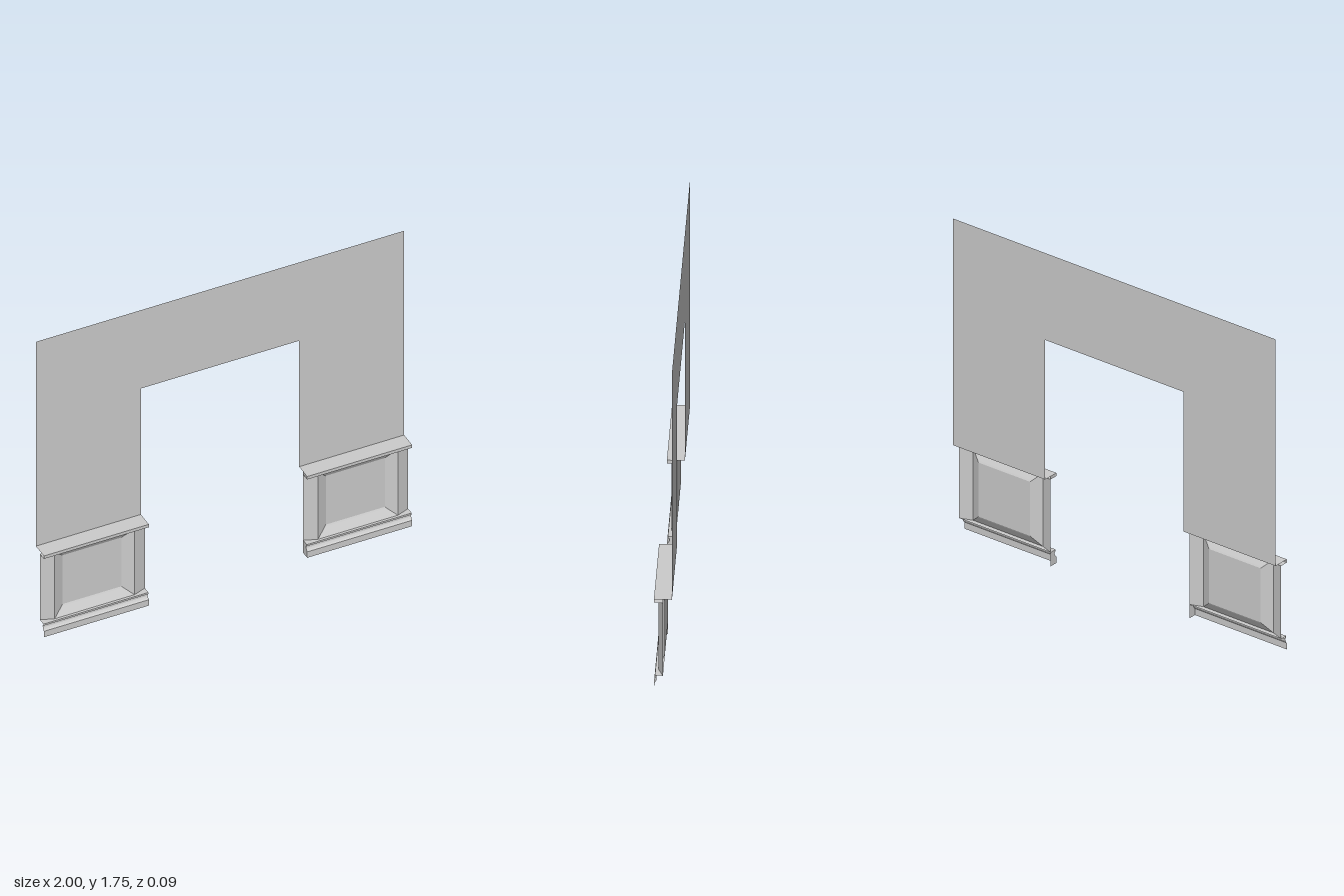
import * as THREE from 'three';

const material = new THREE.MeshStandardMaterial({ color: 0xcccccc, side: THREE.DoubleSide, flatShading: true });

const FRONT = 0.044, BACK = -0.044;
const PIER_X = 0.715, HALF = 0.285;
const RAIL_Y = 0.48, LEDGE_Y = 0.498, BASE_Y = 0.077;
const STILE_IN = 0.217, STILE_Z = 0.025;

function addMesh(parent, name, geometry) {
  const mesh = new THREE.Mesh(geometry, material);
  mesh.name = name;
  parent.add(mesh);
  return mesh;
}

// Skin a list of equally long rows of [x, y, z] points with flat quads.
function loft(rows) {
  const n = rows[0].length;
  const index = [];
  for (let i = 0; i < rows.length - 1; i++) {
    for (let j = 0; j < n - 1; j++) {
      const a = i * n + j, d = a + n;
      index.push(a, a + 1, d + 1, a, d + 1, d);
    }
  }
  const g = new THREE.BufferGeometry();
  g.setAttribute('position', new THREE.Float32BufferAttribute(rows.flat(2), 3));
  g.setIndex(index);
  const flat = g.toNonIndexed();
  flat.computeVertexNormals();
  return flat;
}

// Run a [z, y] profile across the width of a pier.
const moulding = (profile) => loft(profile.map(([z, y]) => [[-HALF, y, z], [HALF, y, z]]));

// Flat end cap from a [z, y] outline, standing at x.
function endCap(outline, x) {
  const shape = new THREE.Shape(outline.map(([z, y]) => new THREE.Vector2(z, y)));
  return new THREE.ShapeGeometry(shape).rotateY(-Math.PI / 2).translate(x, 0, 0);
}

// Closed rectangle, counterclockwise from the front.
const rectangle = (hx, y0, y1, z) =>
  [[-hx, y0, z], [hx, y0, z], [hx, y1, z], [-hx, y1, z], [-hx, y0, z]];

function createPier(side) {
  const pier = new THREE.Group();
  pier.name = side > 0 ? 'leftPedestal' : 'rightPedestal';
  pier.position.x = side * PIER_X;
  const innerX = -side * HALF;

  // Base moulding, open at the back and capped towards the opening
  const base = [[FRONT, 0], [FRONT, 0.036], [0.038, 0.042], [0.032, 0.052],
    [0.031, 0.064], [0.039, 0.067], [0.039, BASE_Y], [0, BASE_Y]];
  addMesh(pier, 'baseMoulding', moulding(base));
  addMesh(pier, 'baseEndCap', endCap([[0, 0], ...base], innerX));

  // Ledge whose top runs back to the wall
  addMesh(pier, 'ledge', moulding([[0, RAIL_Y], [FRONT, RAIL_Y], [FRONT, LEDGE_Y], [BACK, LEDGE_Y]]));
  addMesh(pier, 'ledgeEndCap', endCap([[0, RAIL_Y], [FRONT, RAIL_Y], [FRONT, LEDGE_Y], [0, LEDGE_Y]], innerX));

  // Slanted stiles either side of the panel
  for (const s of [-1, 1]) {
    const row = (y) => {
      const points = [[s * HALF, y, 0], [s * STILE_IN, y, STILE_Z]];
      return s < 0 ? points : points.reverse();
    };
    addMesh(pier, 'stile', loft([row(BASE_Y), row(RAIL_Y)]));
  }

  // Bevelled frame, small inner step and recessed panel
  addMesh(pier, 'panelFrame', loft([
    rectangle(STILE_IN, BASE_Y, RAIL_Y, STILE_Z),
    rectangle(0.168, 0.12, 0.435, 0),
    rectangle(0.16, 0.128, 0.427, -0.004),
  ]));
  addMesh(pier, 'panel', new THREE.PlaneGeometry(0.32, 0.299).translate(0, 0.2775, -0.004));
  return pier;
}

export function createModel() {
  const model = new THREE.Group();
  model.name = 'archwaySurround';

  // Flat wall around the opening
  const outline = [[-1, LEDGE_Y], [-0.43, LEDGE_Y], [-0.43, 1.27], [0.43, 1.27],
    [0.43, LEDGE_Y], [1, LEDGE_Y], [1, 1.75], [-1, 1.75]];
  const wall = new THREE.Shape(outline.map(([x, y]) => new THREE.Vector2(x, y)));
  addMesh(model, 'wall', new THREE.ShapeGeometry(wall)).position.z = BACK;

  for (const side of [-1, 1]) model.add(createPier(side));
  return model;
}
